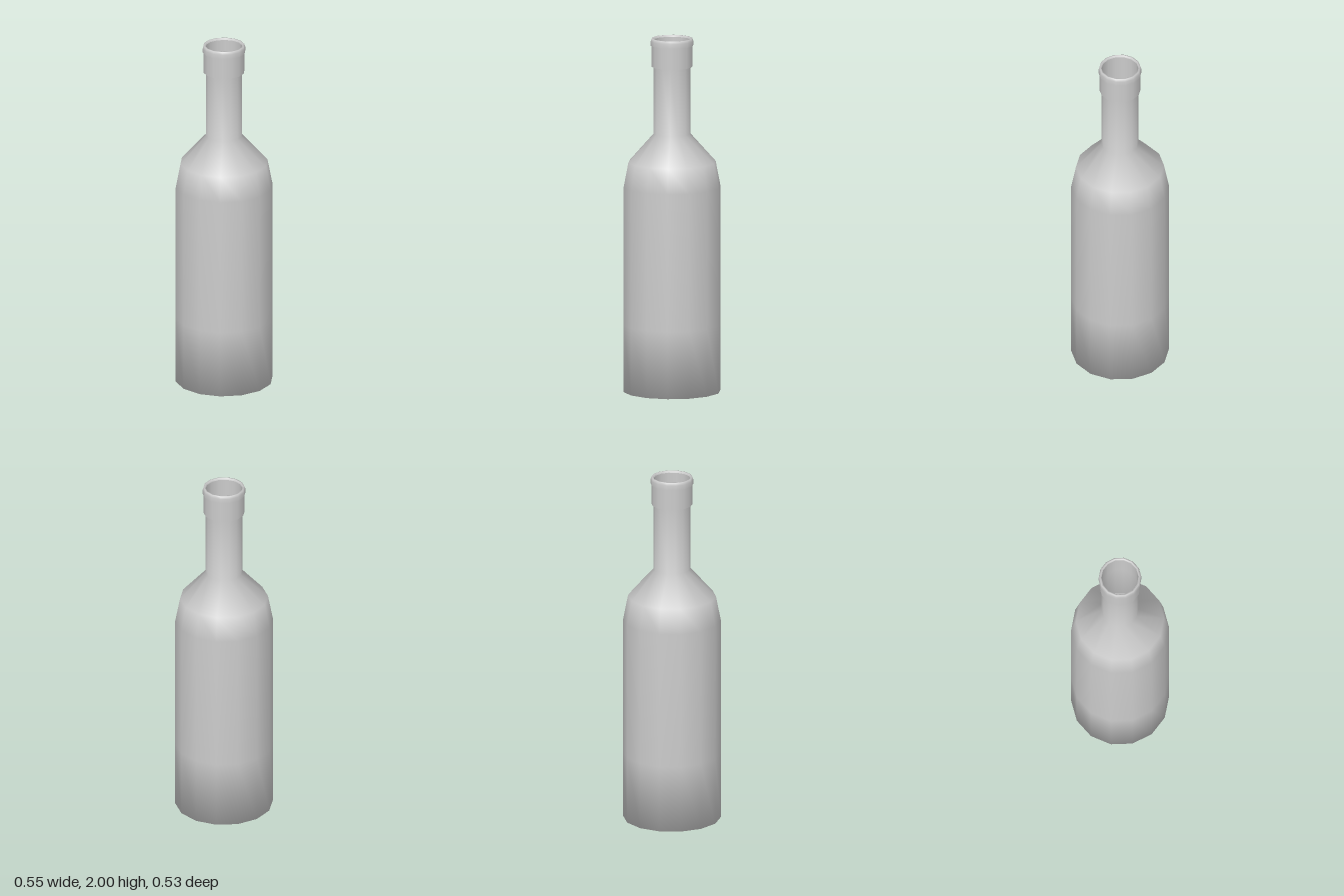
import * as THREE from 'three';

const SIDES = 14;

export function createModel() {
  const bottle = new THREE.Group();
  bottle.name = 'bottle';
  const glass = new THREE.MeshStandardMaterial({ color: 0xcccccc, side: THREE.DoubleSide });

  // Revolves a [radius, height] profile, smooth along its length
  const turn = (name, profile) => {
    const points = profile.map(([r, y]) => new THREE.Vector2(r, y));
    const mesh = new THREE.Mesh(new THREE.LatheGeometry(points, SIDES, Math.PI / 2), glass);
    mesh.name = name;
    bottle.add(mesh);
  };

  // Base, body, shoulder and neck in one soft skin, hollow inside
  turn('body', [
    [0, 0], [0.273, 0], [0.273, 0.38], [0.273, 1.16],
    [0.246, 1.3], [0.103, 1.46], [0.103, 1.84],
  ]);

  // Collar around the top of the neck, with a crisp lower step
  turn('collarStep', [[0.103, 1.84], [0.115, 1.84]]);
  turn('collar', [[0.115, 1.84], [0.115, 1.96]]);

  // Rounded lip and the inside of the mouth
  turn('lipStep', [[0.115, 1.96], [0.12, 1.96]]);
  turn('lip', [[0.12, 1.96], [0.12, 1.985], [0.115, 2], [0.107, 2], [0.103, 1.99]]);
  turn('mouth', [[0.103, 1.99], [0.103, 1.84]]);

  return bottle;
}
